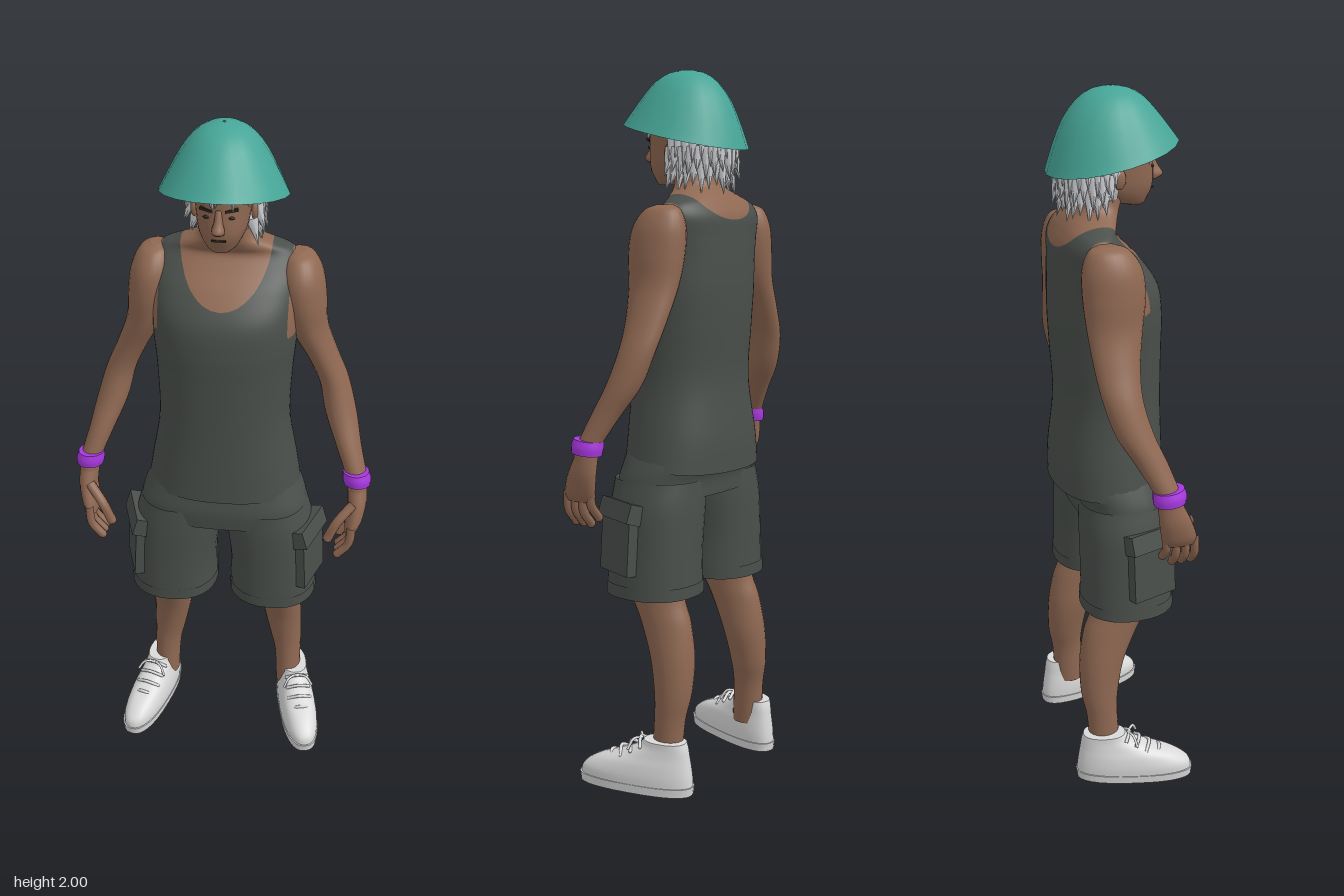
import * as THREE from 'three';

const mat = (name, color, side = THREE.FrontSide) => {
  const m = new THREE.MeshStandardMaterial({ color, side });
  m.name = name;
  return m;
};

// Smooth body through horizontal rings; row = [y, cx, rx, cz, rz, tilt]
function loft(rows, { seg = 32, sub = 5, pow = 1, caps = true } = {}) {
  rows = [...rows].sort((a, b) => a[0] - b[0]);
  const mid = new THREE.CatmullRomCurve3(rows.map(r => new THREE.Vector3(r[1], r[0], r[3])), false, 'catmullrom');
  const rad = new THREE.CatmullRomCurve3(rows.map(r => new THREE.Vector3(r[2], r[5] || 0, r[4])), false, 'catmullrom');
  const n = (rows.length - 1) * sub, pos = [], idx = [];
  const bend = v => Math.sign(v) * Math.abs(v) ** pow;
  const ring = i => {
    const c = mid.getPoint(i / n), r = rad.getPoint(i / n);
    for (let j = 0; j < seg; j++) {
      const a = j / seg * Math.PI * 2, dz = r.z * bend(Math.sin(a));
      pos.push(c.x + r.x * bend(Math.cos(a)), c.y + r.y * dz, c.z + dz);
    }
    return c;
  };
  for (let i = 0; i <= n; i++) ring(i);
  for (let i = 0; i < n; i++) for (let j = 0; j < seg; j++) {
    const k = (j + 1) % seg, a = i * seg + j, b = i * seg + k;
    idx.push(a, a + seg, b, b, a + seg, b + seg);
  }
  if (caps) for (const i of [0, n]) {
    const s = pos.length / 3, c = ring(i);
    pos.push(c.x, c.y, c.z);
    for (let j = 0; j < seg; j++) {
      const k = (j + 1) % seg;
      idx.push(s + seg, s + (i ? k : j), s + (i ? j : k));
    }
  }
  const g = new THREE.BufferGeometry();
  g.setAttribute('position', new THREE.Float32BufferAttribute(pos, 3));
  g.setIndex(idx);
  g.computeVertexNormals();
  return g;
}

// Keeps the part of a surface where f(point) > 0, cut along a clean edge
function clip(geo, f) {
  const g = geo.toNonIndexed(), P = g.attributes.position, N = g.attributes.normal, pos = [], nor = [];
  for (let t = 0; t < P.count; t += 3) {
    const v = [0, 1, 2].map(k => {
      const p = new THREE.Vector3().fromBufferAttribute(P, t + k);
      return { p, n: new THREE.Vector3().fromBufferAttribute(N, t + k), d: f(p) };
    });
    const poly = [];
    v.forEach((a, k) => {
      const b = v[(k + 1) % 3];
      if (a.d > 0) poly.push(a);
      if ((a.d > 0) !== (b.d > 0)) {
        const s = a.d / (a.d - b.d);
        poly.push({ p: a.p.clone().lerp(b.p, s), n: a.n.clone().lerp(b.n, s).normalize() });
      }
    });
    for (let k = 1; k + 1 < poly.length; k++) for (const q of [poly[0], poly[k], poly[k + 1]]) {
      pos.push(...q.p.toArray());
      nor.push(...q.n.toArray());
    }
  }
  const out = new THREE.BufferGeometry();
  out.setAttribute('position', new THREE.Float32BufferAttribute(pos, 3));
  out.setAttribute('normal', new THREE.Float32BufferAttribute(nor, 3));
  return out;
}

export function createModel() {
  const root = new THREE.Group();
  const skin = mat('skin', 0x8f6852), cloth = mat('dark cloth', 0x4a4f4b, THREE.DoubleSide);
  const teal = mat('teal hat', 0x46a597, THREE.DoubleSide), silver = mat('silver hair', 0xd3d4d8, THREE.DoubleSide);
  const white = mat('white shoe', 0xd9d9d9), purple = mat('purple band', 0xa838e0, THREE.DoubleSide);
  const dark = mat('dark features', 0x2c211c);
  const add = (name, geo, m, parent = root) => {
    const mesh = new THREE.Mesh(geo, m);
    mesh.name = name;
    parent.add(mesh);
    return mesh;
  };
  const tube = (name, pts, r, m, parent) => {
    const c = new THREE.CatmullRomCurve3(pts.map(p => new THREE.Vector3(...p)));
    add(name, new THREE.TubeGeometry(c, 8, r, 8), m, parent);
    add(name + 'Tip', new THREE.SphereGeometry(r, 8, 6), m, parent).position.set(...pts[pts.length - 1]);
  };

  // Torso, divided into tank top and bare skin
  const torso = loft([
    [0.915, 0, 0.222, -0.02, 0.156, 0.1], [1.0, 0, 0.208, -0.02, 0.154, 0.05], [1.15, 0, 0.184, -0.014, 0.145],
    [1.3, 0, 0.187, -0.018, 0.149], [1.4, 0, 0.195, -0.02, 0.151], [1.48, 0, 0.197, -0.026, 0.144],
    [1.55, 0, 0.2, -0.048, 0.118], [1.6, 0, 0.198, -0.07, 0.092], [1.635, 0, 0.178, -0.075, 0.07],
    [1.658, 0, 0.13, -0.062, 0.066], [1.685, 0, 0.078, -0.042, 0.06], [1.72, 0, 0.062, -0.03, 0.06],
    [1.78, 0, 0.058, -0.02, 0.06]], { seg: 64, sub: 6, pow: 0.9, caps: false });
  const covered = p => {
    const depth = p.z > -0.07 ? 0.15 : 0.075;
    const neck = (p.x / 0.122) ** 2 + (Math.max(0, 1.668 - p.y) / depth) ** 2 - 1;
    const armhole = Math.max(0.174 - Math.abs(p.x), 1.43 - p.y);
    return Math.min(neck * 0.1, armhole);
  };
  add('tankTop', clip(torso, covered), cloth);
  add('chestAndNeck', clip(torso, p => -covered(p)), skin);

  // Head and face
  add('head', loft([[1.688, 0, 0.025, 0.065, 0.026], [1.702, 0, 0.044, 0.045, 0.053], [1.74, 0, 0.064, 0.018, 0.096],
    [1.8, 0, 0.073, 0.004, 0.11], [1.86, 0, 0.077, 0, 0.112], [1.92, 0, 0.06, 0, 0.09], [1.945, 0, 0.02, 0, 0.03]],
    { pow: 0.92 }), skin);
  add('nose', loft([[1.752, 0, 0.015, 0.118, 0.014], [1.764, 0, 0.017, 0.123, 0.023], [1.785, 0, 0.011, 0.115, 0.018],
    [1.815, 0, 0.008, 0.106, 0.011]], { seg: 12 }), skin);
  add('mouth', new THREE.BoxGeometry(0.036, 0.005, 0.006), dark).position.set(0, 1.731, 0.111);
  for (const s of [1, -1]) {
    const eye = add('eye', new THREE.SphereGeometry(0.011, 10, 8), dark);
    eye.scale.set(1, 0.4, 0.4);
    eye.position.set(s * 0.03, 1.792, 0.105);
    const brow = add('eyebrow', new THREE.BoxGeometry(0.034, 0.007, 0.008), dark);
    brow.position.set(s * 0.032, 1.812, 0.105);
    brow.rotation.set(0, s * 0.3, s * 0.12);
    const ear = add('ear', new THREE.SphereGeometry(0.025, 12, 8), skin);
    ear.scale.set(0.4, 1.1, 0.75);
    ear.position.set(s * 0.078, 1.772, 0);
  }

  // Hair: cap at the back with rows of pointed locks
  const hair = loft([[1.715, 0, 0.07, -0.045, 0.085], [1.75, 0, 0.086, -0.045, 0.1], [1.8, 0, 0.094, -0.04, 0.108],
    [1.87, 0, 0.095, -0.02, 0.115], [1.9, 0, 0.08, -0.01, 0.1]]);
  add('hairCap', clip(hair, p => 0.0 - p.z + Math.max(0, p.y - 1.8) * 0.6), silver);
  const lock = (from, to, r) => {
    const a = new THREE.Vector3(...from), b = new THREE.Vector3(...to), d = b.clone().sub(a);
    const m = add('hairLock', new THREE.ConeGeometry(r, d.length(), 6), silver);
    m.position.copy(a).add(b).multiplyScalar(0.5);
    m.quaternion.setFromUnitVectors(new THREE.Vector3(0, 1, 0), d.normalize());
  };
  for (let row = 0; row < 3; row++) for (let i = 0; i < 17; i++) {
    const a = Math.PI * (0.93 + (i + row * 0.5) / 16 * 1.14), c = Math.cos(a), n = Math.sin(a);
    const top = 1.82 - row * 0.036, out = 1.13 + 0.06 * ((i * 7 + row * 3) % 4) / 3, k = row === 2 ? 0.9 : 1;
    lock([c * 0.085 * k, top, -0.04 + n * 0.098 * k],
      [c * 0.094 * out * k, top - 0.065 - 0.012 * (i % 3), -0.04 + n * 0.1 * out * k], 0.019);
  }
  for (let i = 0; i < 9; i++) {
    const x = (i - 4) * 0.019, z = 0.112 - x * x * 8;
    lock([x, 1.87, z], [x * 1.15 + (i % 2 ? 0.008 : -0.008), 1.808 + 0.012 * (i % 3), z + 0.01], 0.015);
  }

  // Hat with sloping brim
  add('hat', loft([[1.82, 0, 0.168, 0.003, 0.178, 0.23], [1.872, 0, 0.141, -0.002, 0.153, 0.18],
    [1.925, 0, 0.112, -0.004, 0.124, 0.1], [1.968, 0, 0.08, -0.002, 0.088, 0.04], [1.991, 0, 0.044, 0, 0.05],
    [2.0, 0, 0.004, 0, 0.004]], { seg: 20, sub: 2, caps: false }), teal);

  // Shorts: hip section
  add('shortsHips', loft([[0.83, 0, 0.245, 0, 0.128], [0.88, 0, 0.24, 0, 0.132], [0.93, 0, 0.222, -0.012, 0.138],
    [1.0, 0, 0.19, -0.015, 0.13]], { pow: 0.8 }), cloth);

  for (const s of [1, -1]) {
    const side = new THREE.Group();
    side.name = s > 0 ? 'leftLimbs' : 'rightLimbs';
    root.add(side);
    const m = rows => rows.map(([y, cx, ...r]) => [y, s * cx, ...r]);

    // Arm and palm
    add('arm', loft(m([[1.634, 0.19, 0.018, -0.07, 0.025], [1.618, 0.195, 0.042, -0.065, 0.056],
      [1.57, 0.2, 0.06, -0.058, 0.08], [1.5, 0.208, 0.062, -0.055, 0.084], [1.42, 0.224, 0.053, -0.058, 0.075],
      [1.33, 0.264, 0.044, -0.064, 0.062], [1.25, 0.3, 0.042, -0.06, 0.054], [1.16, 0.325, 0.044, -0.035, 0.051],
      [1.08, 0.352, 0.036, 0.005, 0.043], [1.0, 0.38, 0.03, 0.04, 0.035], [0.96, 0.386, 0.028, 0.048, 0.036]]),
      { seg: 24 }), skin, side);
    add('palm', loft(m([[0.97, 0.385, 0.028, 0.046, 0.035], [0.92, 0.388, 0.027, 0.06, 0.045],
      [0.87, 0.381, 0.024, 0.074, 0.05], [0.843, 0.374, 0.017, 0.079, 0.046]]), { seg: 16 }), skin, side);
    // Fingers and thumb
    for (let k = 0; k < 4; k++) {
      const z = 0.038 + 0.027 * k, drop = k === 0 ? 0.02 : 0;
      tube('finger', [[s * 0.378, 0.87, z], [s * 0.372, 0.815 + drop, z + 0.004], [s * 0.342, 0.776 + drop, z + 0.004]],
        0.0125, skin, side);
    }
    tube('thumb', [[s * 0.378, 0.93, 0.09], [s * 0.337, 0.885, 0.118], [s * 0.313, 0.83, 0.122]], 0.0145, skin, side);
    add('wristband', loft(m([[0.978, 0.384, 0.038, 0.045, 0.044, 0.1], [0.997, 0.382, 0.04, 0.044, 0.046, 0.1],
      [1.016, 0.379, 0.037, 0.042, 0.043, 0.1]]), { seg: 20 }), purple, side);

    // Shorts leg, cuff and cargo pocket
    add('shortsLeg', loft(m([[0.56, 0.149, 0.127, 0, 0.13], [0.68, 0.145, 0.123, 0, 0.13],
      [0.8, 0.134, 0.126, 0, 0.13], [0.88, 0.122, 0.118, 0, 0.126]]), { pow: 0.88, caps: false }), cloth, side);
    add('shortsCuff', loft(m([[0.557, 0.149, 0.13, 0, 0.134], [0.592, 0.148, 0.129, 0, 0.134]]),
      { pow: 0.88, sub: 1, caps: false }), cloth, side);
    const pocket = new THREE.Group();
    pocket.name = 'cargoPocket';
    pocket.position.set(s * 0.252, 0.71, 0.04);
    pocket.rotation.set(0, -s * 0.32, s * 0.06);
    side.add(pocket);
    add('pouch', new THREE.BoxGeometry(0.04, 0.17, 0.14), cloth, pocket);
    const flap = add('flap', new THREE.BoxGeometry(0.045, 0.055, 0.152), cloth, pocket);
    flap.position.set(s * 0.004, 0.088, 0);
    flap.rotation.z = s * 0.25;

    // Bare leg
    add('leg', loft(m([[0.72, 0.148, 0.075, 0, 0.09], [0.56, 0.164, 0.057, -0.02, 0.087],
      [0.48, 0.169, 0.056, -0.053, 0.08], [0.38, 0.175, 0.058, -0.082, 0.066], [0.28, 0.186, 0.05, -0.092, 0.055],
      [0.2, 0.195, 0.041, -0.087, 0.046], [0.08, 0.2, 0.038, -0.08, 0.046]]), { seg: 24 }), skin, side);

    // Shoe turned outwards, with sole and laces
    const shoe = new THREE.Group();
    shoe.name = 'shoe';
    shoe.position.set(s * 0.238, 0, 0);
    shoe.rotation.y = s * 0.25;
    side.add(shoe);
    add('sole', loft([[0, 0, 0.056, 0, 0.172], [0.025, 0, 0.058, 0, 0.175]], { pow: 0.8, sub: 1 }), white, shoe);
    add('upper', loft([[0.02, 0, 0.056, 0, 0.172], [0.05, 0, 0.057, -0.004, 0.166], [0.08, 0, 0.053, -0.024, 0.142],
      [0.105, 0, 0.046, -0.056, 0.106], [0.13, 0, 0.041, -0.083, 0.075], [0.15, 0, 0.04, -0.09, 0.062]],
      { pow: 0.85 }), white, shoe);
    for (let k = 0; k < 4; k++) {
      const y = 0.093 + k * 0.017, z = 0.075 - k * 0.03;
      tube('lace', [[-0.036, y - 0.012, z - 0.012], [0, y + 0.006, z], [0.036, y - 0.012, z - 0.012]], 0.005, white, shoe);
    }
    for (const d of [1, -1]) tube('laceLoop', [[0, 0.148, -0.02], [d * 0.028, 0.15, -0.004], [d * 0.044, 0.125, 0.006]],
      0.004, white, shoe);
  }
  return root;
}
